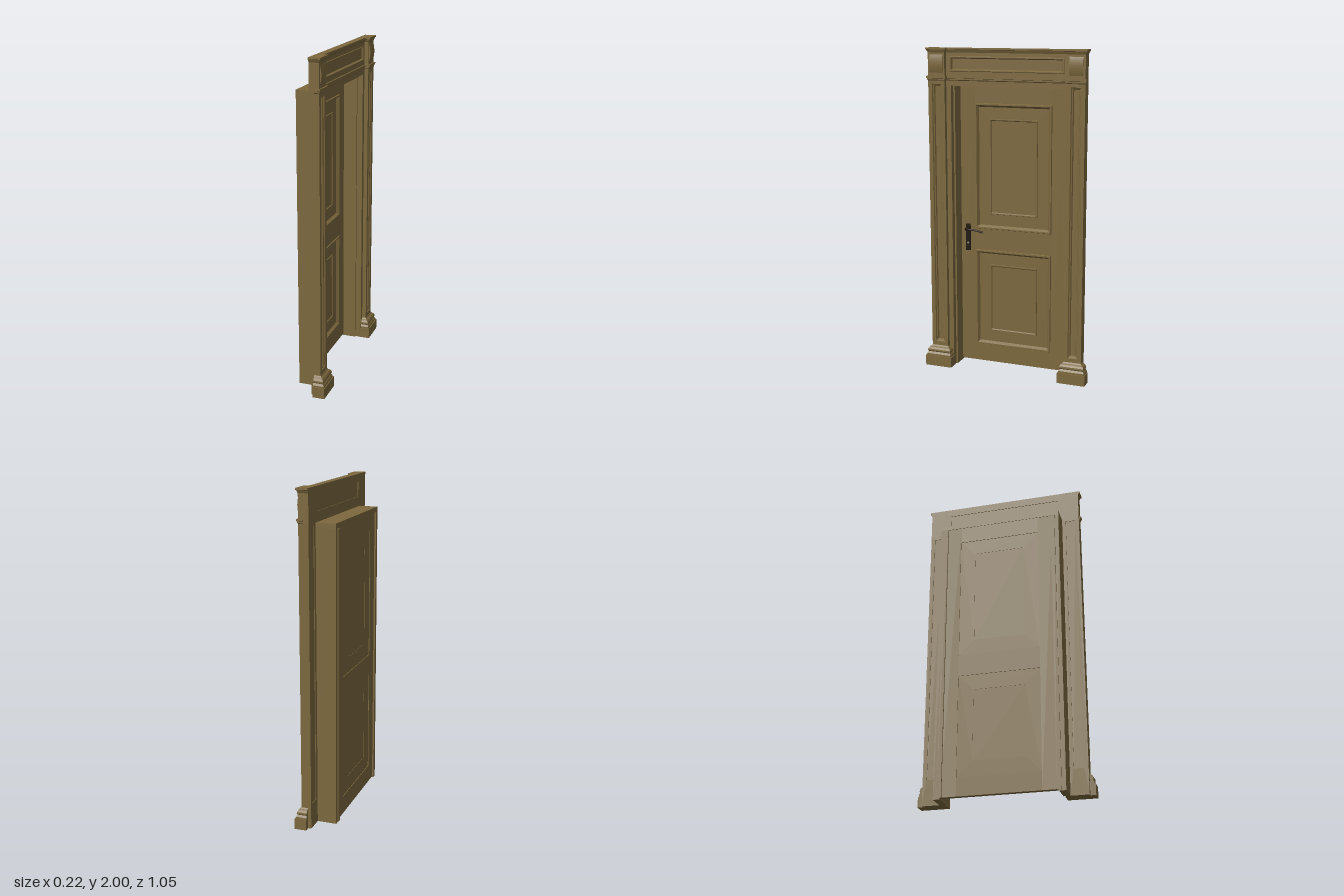
import * as THREE from 'three';

const wood = new THREE.MeshStandardMaterial({ color: 0x7d693e, flatShading: true });
const metal = new THREE.MeshStandardMaterial({ color: 0x21170d });
const brass = new THREE.MeshStandardMaterial({ color: 0x8c8468 });

export function createModel() {
  const root = new THREE.Group();
  root.name = 'doorway';

  const add = (name, geometry, material = wood) => {
    const mesh = new THREE.Mesh(geometry, material);
    mesh.name = name;
    root.add(mesh);
    return mesh;
  };

  // Box given by its limits on each axis
  const box = (name, x0, x1, y0, y1, z0, z1, material) => {
    const g = new THREE.BoxGeometry(x1 - x0, y1 - y0, z1 - z0);
    g.translate((x0 + x1) / 2, (y0 + y1) / 2, (z0 + z1) / 2);
    return add(name, g, material);
  };

  // Skin through four-cornered rings, closed at the last one
  const skin = (name, rings, closeStart = false) => {
    const pos = [];
    const quad = (a, b, c, d) => pos.push(...a, ...b, ...c, ...a, ...c, ...d);
    for (let i = 0; i + 1 < rings.length; i++) {
      const p = rings[i], q = rings[i + 1];
      for (let k = 0; k < 4; k++) quad(p[k], p[(k + 1) % 4], q[(k + 1) % 4], q[k]);
    }
    quad(...rings[rings.length - 1]);
    if (closeStart) quad(...[...rings[0]].reverse());
    const g = new THREE.BufferGeometry();
    g.setAttribute('position', new THREE.Float32BufferAttribute(pos, 3));
    g.computeVertexNormals();
    return add(name, g);
  };

  // Mitred panel: profile is [inset, x]; dir 1 faces the front of the door, -1 the back
  const panel = (name, y0, y1, z0, z1, profile, dir = 1) => {
    skin(name, profile.map(([d, x]) => {
      const ring = [
        [x, y0 + d, z1 - d], [x, y0 + d, z0 + d],
        [x, y1 - d, z0 + d], [x, y1 - d, z1 - d],
      ];
      return dir > 0 ? ring : ring.reverse();
    }));
  };

  // Horizontal moulding: levels are [y, spread]; the back stays flat
  const moulding = (name, x0, x1, z0, z1, levels) => skin(name, levels.map(([y, s]) => [
    [x0, y, z1 + s], [x1 + s, y, z1 + s], [x1 + s, y, z0 - s], [x0, y, z0 - s],
  ]), true);

  // Board with one rectangular hole
  const rect = (Type, y0, y1, z0, z1) => new Type([
    new THREE.Vector2(-z1, y0), new THREE.Vector2(-z0, y0),
    new THREE.Vector2(-z0, y1), new THREE.Vector2(-z1, y1),
  ]);
  const board = (name, x0, x1, outer, hole) => {
    const shape = rect(THREE.Shape, ...outer);
    shape.holes.push(rect(THREE.Path, ...hole));
    const g = new THREE.ExtrudeGeometry(shape, { depth: x1 - x0, bevelEnabled: false });
    g.rotateY(Math.PI / 2).translate(x0, 0, 0);
    add(name, g);
  };

  // Jamb lining
  box('jambHead', -0.103, 0.015, 1.77, 1.8, -0.385, 0.385);
  for (const s of [-1, 1]) {
    const side = (name, x0, x1, y0, y1, a, b) =>
      box(name, x0, x1, y0, y1, Math.min(s * a, s * b), Math.max(s * a, s * b));
    side('jambSide', -0.103, 0.015, 0, 1.77, 0.345, 0.385);
    side('backStrip', -0.11, -0.098, 0.005, 1.77, 0.335, 0.36);
    side('doorStile', -0.1, -0.07, 0.01, 1.77, 0.25, 0.345);
    side('architraveSide', 0.015, 0.05, 0, 1.775, 0.355, 0.385);
  }

  // Door leaf
  for (const [y0, y1] of [[0.01, 0.12], [0.745, 0.88], [1.665, 1.77]])
    box('doorRail', -0.1, -0.07, y0, y1, -0.25, 0.25);
  for (const [y0, y1] of [[0.12, 0.745], [0.88, 1.665]]) {
    panel('doorPanelFront', y0, y1, -0.25, 0.25, [
      [0, -0.07], [0.003, -0.063], [0.012, -0.063], [0.017, -0.07], [0.024, -0.08],
      [0.094, -0.08], [0.096, -0.075], [0.102, -0.075], [0.107, -0.081],
    ]);
    panel('doorPanelBack', y0, y1, -0.25, 0.25,
      [[0, -0.1], [0, -0.096], [0.094, -0.096], [0.094, -0.094]], -1);
  }

  // Pilasters with sunk panels, plinths and capping blocks
  for (const s of [-1, 1]) {
    const span = (a, b) => (s > 0 ? [a, b] : [-b, -a]);
    const whole = span(0.385, 0.493), sunk = span(0.408, 0.468);
    board('pilaster', 0.015, 0.075, [0, 1.81, ...whole], [0.155, 1.785, ...sunk]);
    panel('pilasterPanelFront', 0.155, 1.785, ...sunk,
      [[0, 0.075], [0.004, 0.068], [0.01, 0.066], [0.014, 0.058]]);
    panel('pilasterPanelBack', 0.155, 1.785, ...sunk, [[0, 0.015], [0, 0.019]], -1);

    moulding('plinth', 0.035, 0.075, ...whole, [
      [0, 0.033], [0.065, 0.033], [0.065, 0.027], [0.076, 0.027], [0.088, 0.019],
      [0.095, 0.023], [0.105, 0.022], [0.116, 0.015], [0.122, 0.006], [0.13, 0.001],
    ]);
    moulding('pilasterNeck', 0.045, 0.075, ...whole,
      [[1.805, 0], [1.81, 0.004], [1.818, 0.004], [1.82, 0.009], [1.832, 0.009]]);
    box('capBlock', 0.015, 0.075, 1.81, 1.976, ...whole);
    moulding('pilasterCornice', 0.015, 0.075, ...whole,
      [[1.972, 0], [1.978, 0.003], [1.988, 0.007], [1.99, 0.011], [2, 0.011]]);

    // Swelling face of the capping block
    const arc = new THREE.Shape();
    arc.moveTo(0.073, 1.845);
    arc.quadraticCurveTo(0.094, 1.905, 0.073, 1.965);
    const swell = new THREE.ExtrudeGeometry(arc, { depth: 0.084, bevelEnabled: false, curveSegments: 10 });
    swell.translate(0, 0, s * 0.439 - 0.042);
    add('capSwelling', swell);
  }

  // Lintel, frieze and cornice between the pilasters
  box('architraveHead', 0.015, 0.05, 1.775, 1.81, -0.385, 0.385);
  board('frieze', 0.015, 0.05, [1.81, 1.976, -0.385, 0.385], [1.86, 1.95, -0.36, 0.36]);
  panel('friezePanelFront', 1.86, 1.95, -0.36, 0.36,
    [[0, 0.05], [0.003, 0.054], [0.008, 0.054], [0.014, 0.042]]);
  panel('friezePanelBack', 1.86, 1.95, -0.36, 0.36, [[0, 0.015], [0, 0.019]], -1);
  moulding('friezeBand', 0.03, 0.05, -0.385, 0.385,
    [[1.805, 0], [1.81, 0.004], [1.818, 0.004], [1.82, 0.009], [1.832, 0.009]]);
  moulding('cornice', 0.015, 0.05, -0.385, 0.385,
    [[1.972, 0], [1.978, 0.003], [1.988, 0.007], [1.99, 0.01], [1.9995, 0.01]]);

  // Door handle
  box('handlePlate', -0.07, -0.062, 0.735, 0.905, 0.284, 0.313, metal);
  const pivot = new THREE.CylinderGeometry(0.01, 0.012, 0.035, 20);
  pivot.rotateZ(-Math.PI / 2).translate(-0.046, 0.876, 0.298);
  add('handlePivot', pivot, metal);
  const lever = new THREE.CatmullRomCurve3([
    [-0.05, 0.876, 0.298], [-0.03, 0.877, 0.292], [-0.024, 0.878, 0.26],
    [-0.026, 0.873, 0.22], [-0.032, 0.863, 0.185],
  ].map((p) => new THREE.Vector3(...p)));
  add('handleLever', new THREE.TubeGeometry(lever, 24, 0.006, 10), metal);
  const lock = new THREE.CylinderGeometry(0.007, 0.007, 0.004, 16);
  lock.rotateZ(Math.PI / 2).translate(-0.061, 0.785, 0.298);
  add('lockCylinder', lock, brass);

  return root;
}
